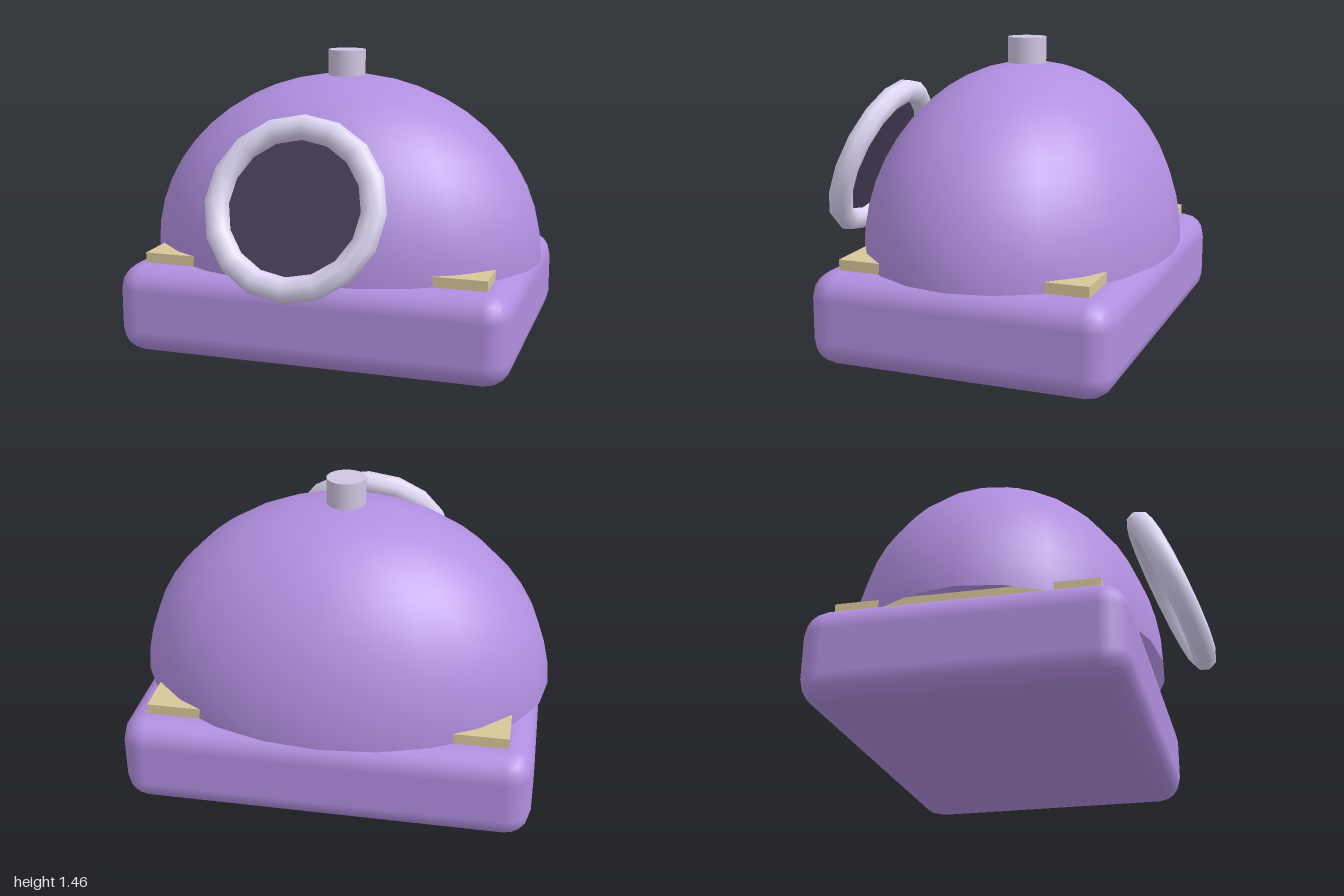
import * as THREE from 'three';
import { RoundedBoxGeometry } from 'three/addons/geometries/RoundedBoxGeometry.js';

const CENTER_Z = -0.13;
const BASE_TOP = 0.44;

const material = (color, options = {}) => new THREE.MeshStandardMaterial({ color, ...options });

function addPart(parent, name, geometry, mat, x, y, z) {
  const mesh = new THREE.Mesh(geometry, mat);
  mesh.name = name;
  mesh.position.set(x, y, z);
  parent.add(mesh);
  return mesh;
}

export function createModel() {
  const model = new THREE.Group();
  model.name = 'domedMachine';

  const purple = material(0xb18fe0);
  const shell = material(0xb18fe0, { side: THREE.DoubleSide });
  const tan = material(0xd6c69a);
  const pale = material(0xdfd7f5);
  const knobPale = material(0xcfc5e3);
  const dark = material(0x483d57, { side: THREE.DoubleSide });

  // Rounded base block
  addPart(model, 'base', new RoundedBoxGeometry(1.93, BASE_TOP, 1.435, 2, 0.12), purple,
    0, BASE_TOP / 2, CENTER_Z);

  // Thin plate whose corners stick out from under the dome
  addPart(model, 'plate', new THREE.BoxGeometry(1.69, 0.05, 1.19), tan,
    0, BASE_TOP + 0.025, CENTER_Z);

  // Open oval half-dome, slightly overhanging the base
  const domeGeometry = new THREE.SphereGeometry(1, 24, 12, 0, Math.PI * 2, 0, Math.PI / 2);
  domeGeometry.scale(1, 0.895, 0.75);
  addPart(model, 'dome', domeGeometry, shell, 0, BASE_TOP, CENTER_Z);

  // Knob on the crown
  addPart(model, 'knob', new THREE.CylinderGeometry(0.093, 0.093, 0.13, 24), knobPale,
    0, 1.39, CENTER_Z);

  // Round window leaning back in front of the dome
  const porthole = new THREE.Group();
  porthole.name = 'porthole';
  porthole.position.set(0, 0.815, 0.675);
  porthole.rotation.x = -0.39;
  model.add(porthole);
  addPart(porthole, 'portholeRim', new THREE.TorusGeometry(0.372, 0.06, 8, 16), pale, 0, 0, 0);
  addPart(porthole, 'portholeGlass', new THREE.CircleGeometry(0.36, 16), dark, 0, 0, 0);

  return model;
}
